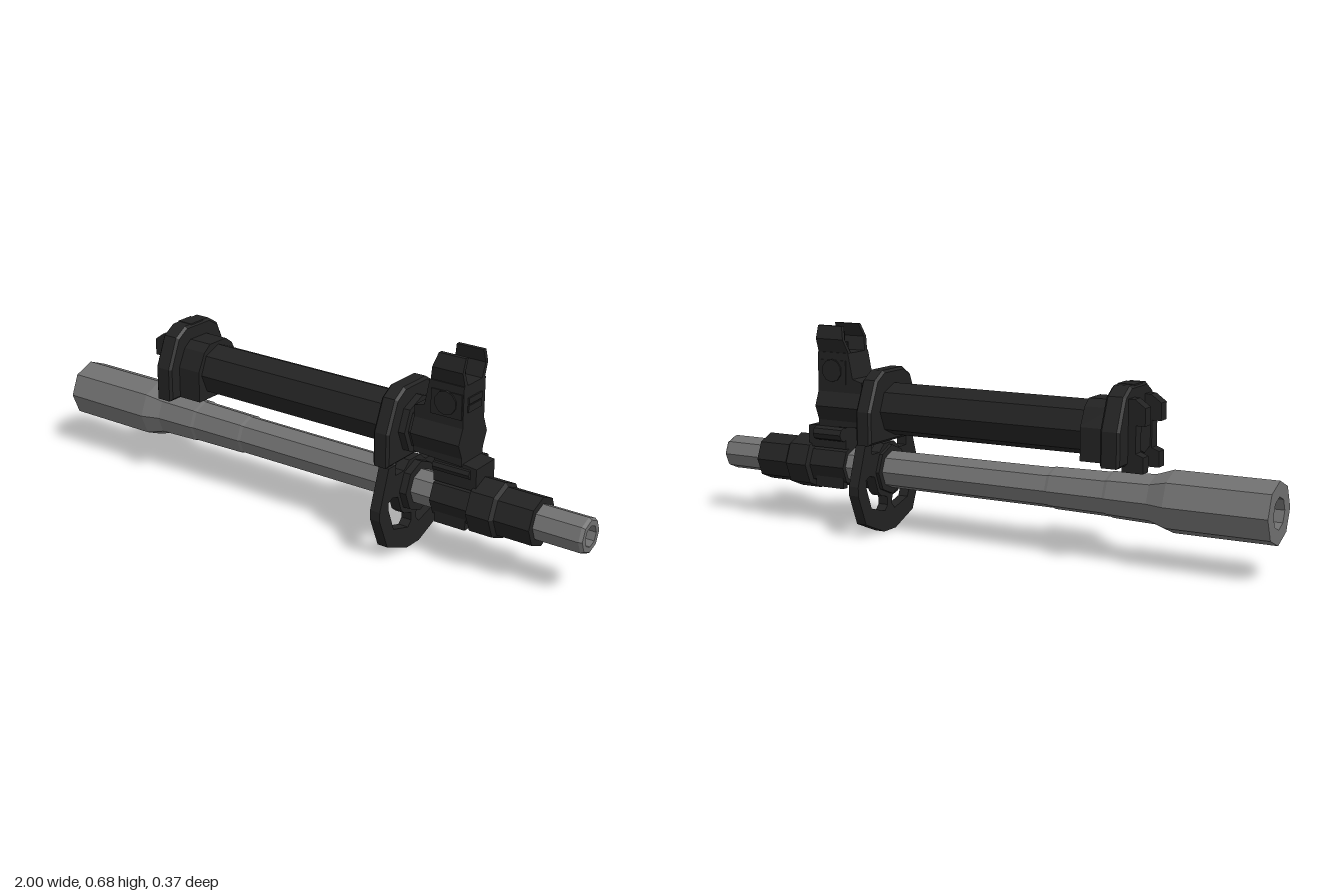
import * as THREE from 'three';

const dark = new THREE.MeshStandardMaterial({ color: 0x222222, flatShading: true });
dark.name = 'blackened steel';
const steel = new THREE.MeshStandardMaterial({ color: 0x707070, flatShading: true });
steel.name = 'bare steel';

const AXIS = 0.21; // height of the lower tube axis
const UPPER = 0.415; // height of the upper tube axis

export function createModel() {
  const model = new THREE.Group();

  function add(name, geometry, material = dark) {
    const mesh = new THREE.Mesh(geometry, material);
    mesh.name = name;
    model.add(mesh);
    return mesh;
  }

  // Faceted turned part along x; profile holds [x, radius] pairs
  function turned(name, profile, y, z = 0, material = dark, sides = 8) {
    const g = new THREE.LatheGeometry(profile.map(([x, r]) => new THREE.Vector2(r, x)), sides);
    g.rotateZ(-Math.PI / 2);
    g.translate(0, y, z);
    return add(name, g, material);
  }
  const rod = (name, x0, x1, r, y, z = 0, sides = 8) =>
    turned(name, [[x0, 0], [x0, r], [x1, r], [x1, 0]], y, z, dark, sides);

  const box = (name, x0, x1, y0, y1, z0, z1) => {
    const g = new THREE.BoxGeometry(x1 - x0, y1 - y0, z1 - z0);
    g.translate((x0 + x1) / 2, (y0 + y1) / 2, (z0 + z1) / 2);
    return add(name, g);
  };

  const toShape = (pts) => new THREE.Shape(pts.map(([a, b]) => new THREE.Vector2(a, b)));
  // Half outline (z >= 0, listed bottom to top) completed by mirroring
  const mirrored = (half) => [...half, ...half.map(([z, y]) => [-z, y]).reverse()];

  // Plate with a (z, y) outline, extruded along x
  function plateX(name, pts, x0, x1, holes = [], bevel = 0) {
    const shape = toShape(pts);
    holes.forEach((h) => shape.holes.push(toShape(h)));
    const g = new THREE.ExtrudeGeometry(shape, {
      depth: x1 - x0 - 2 * bevel, bevelEnabled: bevel > 0, bevelSize: bevel,
      bevelOffset: -bevel, bevelThickness: bevel, bevelSegments: 1,
    });
    g.rotateY(Math.PI / 2);
    g.translate(x0 + bevel, 0, 0);
    return add(name, g);
  }

  // Plate with an (x, y) outline, extruded along z
  function plateZ(name, pts, z0, z1) {
    const g = new THREE.ExtrudeGeometry(toShape(pts), { depth: z1 - z0, bevelEnabled: false });
    g.translate(0, 0, z0);
    return add(name, g);
  }

  // Long stepped tube, hollow at both ends
  turned('mainTube', [
    [-0.9, 0], [-0.9, 0.05], [-1, 0.05], [-1, 0.098], [-0.67, 0.098], [-0.61, 0.078],
    [-0.47, 0.074], [-0.46, 0.071], [-0.27, 0.068], [-0.26, 0.065], [0.38, 0.063],
    [0.39, 0.058], [0.99, 0.058], [1, 0.052], [1, 0.034], [0.92, 0.034], [0.92, 0],
  ], AXIS, 0, steel);

  // Upper tube with collars
  rod('upperTube', -0.42, 0.35, 0.087, UPPER);
  rod('upperTubeFrontCollar', 0.385, 0.41, 0.095, UPPER);
  rod('upperTubeNeck', 0.4, 0.44, 0.075, UPPER);

  // Rear and front end caps of the upper tube
  const cap = mirrored([[0.148, 0.31], [0.148, 0.42], [0.105, 0.52], [0.06, 0.548]]);
  plateX('frontCap', cap, 0.33, 0.387, [], 0.008);
  plateX('rearCap', cap.map(([z, y]) => [z * 0.98, 0.32 + (y - 0.31) * 1.01]), -0.55, -0.485, [], 0.008);
  plateX('rearCapStep', mirrored([[0.1, 0.325], [0.1, 0.43], [0.07, 0.49], [0.04, 0.512]]), -0.49, -0.4);
  plateX('rearCapRidge', mirrored([[0.05, 0.5], [0.03, 0.562]]), -0.545, -0.49);

  // Notched prongs behind the rear cap
  for (const s of [-1, 1]) {
    plateZ('rearProng', [
      [-0.53, 0.3], [-0.6, 0.3], [-0.6, 0.35], [-0.575, 0.36], [-0.575, 0.445],
      [-0.605, 0.445], [-0.605, 0.5], [-0.57, 0.525], [-0.53, 0.525],
    ], s > 0 ? 0.04 : -0.08, s > 0 ? 0.08 : -0.04);
  }
  rod('rearCore', -0.57, -0.54, 0.065, UPPER);

  // Lower retaining plate with two windows
  const windowHole = [[0.14, 0.195], [0.14, 0.17], [0.11, 0.095], [0.03, 0.072], [0.013, 0.09],
    [0.016, 0.118], [0.05, 0.127], [0.07, 0.143], [0.09, 0.197], [0.12, 0.205]];
  plateX('retainingPlate', mirrored([
    [0.035, 0.002], [0.143, 0.046], [0.187, 0.15], [0.187, 0.18], [0.143, 0.31],
    [0.105, 0.31], [0.105, 0.275], [0.06, 0.275], [0.03, 0.3],
  ]), 0.352, 0.388, [windowHole, windowHole.map(([z, y]) => [-z, y])]);
  rod('retainingCollar', 0.34, 0.412, 0.083, AXIS);

  // Upright block over the upper tube
  rod('uprightSocket', 0.42, 0.592, 0.08, UPPER);
  plateZ('uprightBody', [[0.42, 0.35], [0.592, 0.342], [0.592, 0.595], [0.472, 0.595], [0.455, 0.51], [0.42, 0.5]],
    -0.06, 0.06);
  plateZ('uprightFoot', [[0.49, 0.27], [0.64, 0.27], [0.64, 0.342], [0.49, 0.36]], -0.052, 0.052);

  // Side cheeks, cross pins and inset on the upright block
  for (const s of [-1, 1]) {
    box('sideCheek', 0.48, 0.588, 0.49, 0.57, s > 0 ? 0.055 : -0.064, s > 0 ? 0.064 : -0.055);
  }
  const pin = new THREE.CylinderGeometry(0.038, 0.038, 0.138, 10);
  pin.rotateX(Math.PI / 2);
  pin.translate(0.533, 0.535, 0);
  add('crossPin', pin);
  box('frontInset', 0.588, 0.596, 0.508, 0.53, -0.037, 0.037);
  box('frontInsetLip', 0.588, 0.597, 0.535, 0.555, -0.037, 0.037);

  // Bent guard ears on top, leaning in at the tip
  for (const s of [-1, 1]) {
    const ear = [[0.036, 0.585], [0.055, 0.592], [0.07, 0.64], [0.056, 0.683], [0.042, 0.683], [0.057, 0.64], [0.04, 0.597]];
    const mesh = plateX('guardEar', ear.map(([z, y]) => [s * z, y]), 0.47, 0.592);
    const p = mesh.geometry.attributes.position;
    // Slope the rear edge of each ear
    for (let i = 0; i < p.count; i++) {
      if (p.getX(i) < 0.5) p.setX(i, 0.472 + Math.max(0, p.getY(i) - 0.595) * 0.3);
    }
  }

  // Centre post
  for (const [r, y0, y1] of [[0.021, 0.585, 0.625], [0.01, 0.62, 0.66]]) {
    const g = new THREE.CylinderGeometry(r, r, y1 - y0, 8);
    g.translate(0.535, (y0 + y1) / 2, 0);
    add('centrePost', g);
  }

  // Stepped sleeve on the main tube
  turned('sleeve', [
    [0.49, 0], [0.49, 0.073], [0.625, 0.073], [0.63, 0.092], [0.71, 0.092],
    [0.72, 0.08], [0.84, 0.08], [0.84, 0],
  ], AXIS);
  rod('footPin', 0.49, 0.62, 0.018, 0.32, 0.045);
  rod('footPin', 0.49, 0.6, 0.024, 0.322, -0.063);
  for (const s of [-1, 1]) {
    box('sleeveLug', 0.5, 0.61, 0.135, 0.18, s * 0.045 - 0.012, s * 0.045 + 0.012);
  }
  return model;
}
